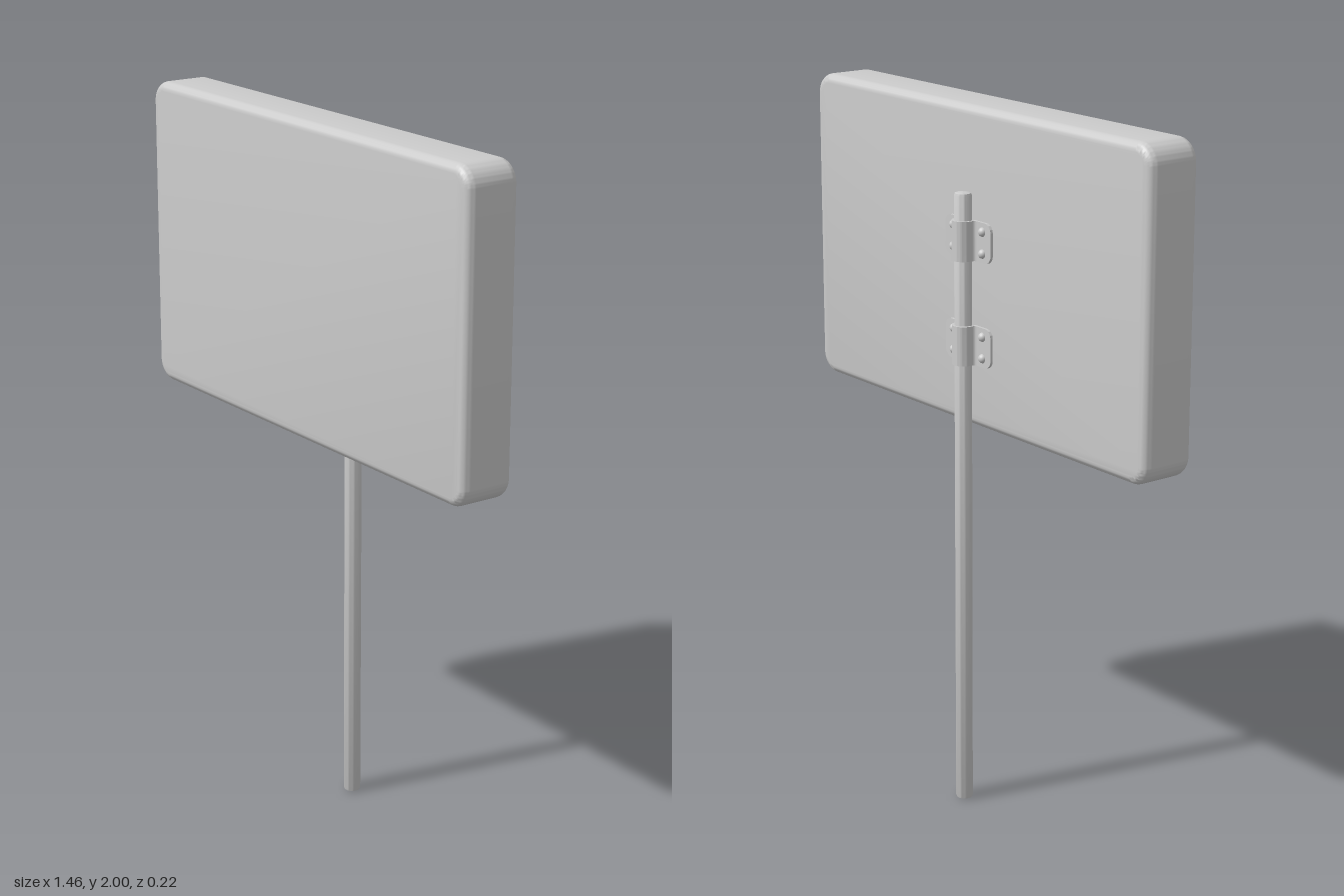
import * as THREE from 'three';
import { toCreasedNormals } from 'three/addons/utils/BufferGeometryUtils.js';

const material = new THREE.MeshStandardMaterial({ color: 0xcccccc });
const POLE_Z = -0.079, BACK_Z = -0.055;

function addMesh(parent, name, geometry, x = 0, y = 0, z = 0) {
  const mesh = new THREE.Mesh(geometry, material);
  mesh.name = name;
  mesh.position.set(x, y, z);
  parent.add(mesh);
  return mesh;
}

// Rectangle from (x0, y0) to (x1, y1); rl and rr round its left and right corners
function roundedRect(x0, y0, x1, y1, rl, rr) {
  const s = new THREE.Shape();
  s.moveTo(x0 + rl, y0);
  s.lineTo(x1 - rr, y0);
  if (rr) s.absarc(x1 - rr, y0 + rr, rr, -Math.PI / 2, 0);
  s.lineTo(x1, y1 - rr);
  if (rr) s.absarc(x1 - rr, y1 - rr, rr, 0, Math.PI / 2);
  s.lineTo(x0 + rl, y1);
  if (rl) s.absarc(x0 + rl, y1 - rl, rl, Math.PI / 2, Math.PI);
  s.lineTo(x0, y0 + rl);
  if (rl) s.absarc(x0 + rl, y0 + rl, rl, Math.PI, Math.PI * 1.5);
  return s;
}

// Thick sign panel with rounded corners and soft edges
function panelGeometry() {
  const w = 1.455, h = 0.885, d = 0.162, bevel = 0.025;
  const geo = new THREE.ExtrudeGeometry(roundedRect(-w / 2, -h / 2, w / 2, h / 2, 0.06, 0.06), {
    depth: d - 2 * bevel, bevelThickness: bevel, bevelSize: bevel, bevelOffset: -bevel,
    bevelSegments: 6, curveSegments: 10,
  });
  geo.translate(0, 0, bevel);
  return toCreasedNormals(geo, 0.6);
}

// Pole with slightly rounded ends
function poleGeometry() {
  const r = 0.024, top = 1.77, e = 0.007;
  const profile = [
    [0, 0], [r - e, 0], [r - e * 0.3, e * 0.3], [r, e],
    [r, top - e], [r - e * 0.3, top - e * 0.3], [r - e, top], [0, top],
  ].map(([x, y]) => new THREE.Vector2(x, y));
  return toCreasedNormals(new THREE.LatheGeometry(profile, 32), 0.6);
}

// Strap that wraps the pole and flares out onto the panel
function strapGeometry(height) {
  const outer = 0.031, inner = 0.024, c = -POLE_Z, b = -BACK_Z;
  const s = new THREE.Shape();
  s.moveTo(outer + 0.008, b);
  s.lineTo(outer + 0.008, b + 0.008);
  s.quadraticCurveTo(outer, b + 0.008, outer, b + 0.016);
  s.lineTo(outer, c);
  s.absarc(0, c, outer, 0, Math.PI);
  s.lineTo(-outer, b + 0.016);
  s.quadraticCurveTo(-outer, b + 0.008, -outer - 0.008, b + 0.008);
  s.lineTo(-outer - 0.008, b);
  s.lineTo(-inner, b);
  s.lineTo(-inner, c);
  s.absarc(0, c, inner, Math.PI, 0, true);
  s.lineTo(inner, b);
  const geo = new THREE.ExtrudeGeometry(s, { depth: height, bevelEnabled: false, curveSegments: 20 });
  geo.rotateX(-Math.PI / 2).translate(0, -height / 2, 0);
  return toCreasedNormals(geo, 0.6);
}

// Domed bolt head pointing backwards
function boltGeometry() {
  const geo = new THREE.SphereGeometry(0.013, 16, 8, 0, Math.PI * 2, 0, Math.PI / 2);
  return geo.rotateX(-Math.PI / 2);
}

function createClamp(y) {
  const height = 0.11, clamp = new THREE.Group();
  clamp.name = 'clamp';
  clamp.position.y = y;
  addMesh(clamp, 'strap', strapGeometry(height));
  for (const side of [-1, 1]) {
    // Mounting tab, rounded at its outer corners
    const x0 = side > 0 ? 0.035 : -0.1, x1 = side > 0 ? 0.1 : -0.035;
    const outline = roundedRect(x0, -height / 2, x1, height / 2, side < 0 ? 0.025 : 0, side > 0 ? 0.025 : 0);
    const tab = new THREE.ExtrudeGeometry(outline, { depth: 0.008, bevelEnabled: false, curveSegments: 8 });
    addMesh(clamp, 'tab', toCreasedNormals(tab, 0.6), 0, 0, BACK_Z - 0.008);
    for (const dy of [-0.03, 0.03]) addMesh(clamp, 'bolt', boltGeometry(), side * 0.064, dy, BACK_Z - 0.006);
  }
  return clamp;
}

export function createModel() {
  const model = new THREE.Group();
  model.name = 'signPost';
  addMesh(model, 'panel', panelGeometry(), 0, 1.5575, BACK_Z);
  addMesh(model, 'pole', poleGeometry(), 0, 0, POLE_Z);
  for (const y of [1.35, 1.64]) model.add(createClamp(y));
  return model;
}
